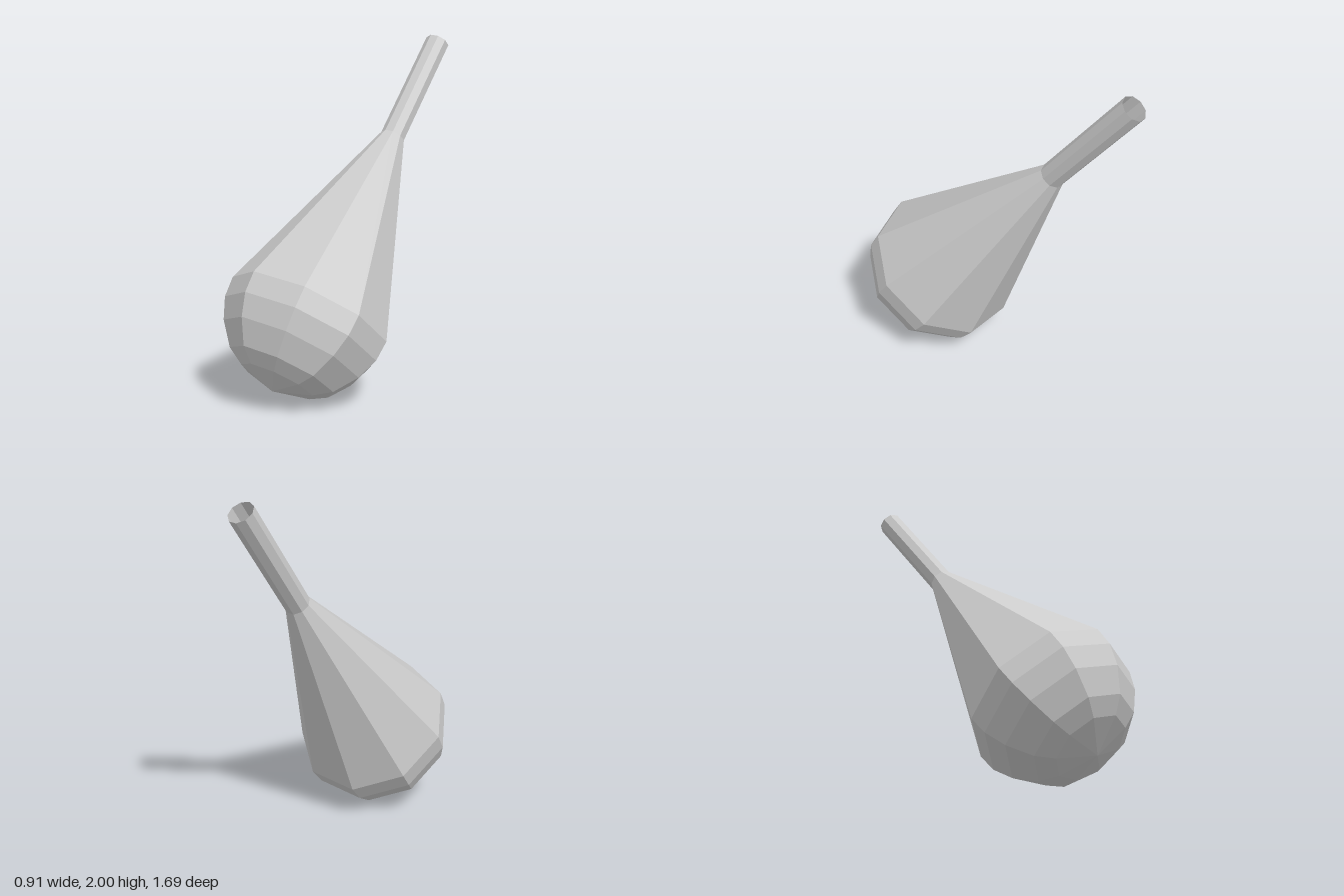
import * as THREE from 'three';

export function createModel() {
  const group = new THREE.Group();
  const material = new THREE.MeshStandardMaterial({
    color: 0xcccccc, flatShading: true, side: THREE.DoubleSide,
  });
  const SIDES = 9;
  const PHASE = THREE.MathUtils.degToRad(31.4);

  // Faceted shell turned around the pear's own axis, from [radius, height] pairs
  const addTurned = (name, profile) => {
    const points = profile.map(([r, h]) => new THREE.Vector2(r, h));
    const mesh = new THREE.Mesh(new THREE.LatheGeometry(points, SIDES, PHASE), material);
    mesh.name = name;
    group.add(mesh);
  };

  // Rounded bottom, from the pole to the widest ring
  addTurned('bulb', [
    [0, 0], [0.215, 0.06], [0.31, 0.117], [0.406, 0.238], [0.457, 0.357], [0.467, 0.475],
  ]);
  // Long cone narrowing to the neck
  addTurned('taper', [[0.467, 0.475], [0.073, 1.656]]);
  // Straight tube, open at the end
  addTurned('neck', [[0.073, 1.656], [0.073, 2.364]]);

  // Lean the whole body backwards, resting on the side of the bulb
  group.rotation.set(THREE.MathUtils.degToRad(-38.3), 0, -0.023);
  group.position.set(0, 0.1, 0.683);

  const model = new THREE.Group();
  group.name = 'tiltedFlask';
  model.add(group);
  return model;
}
